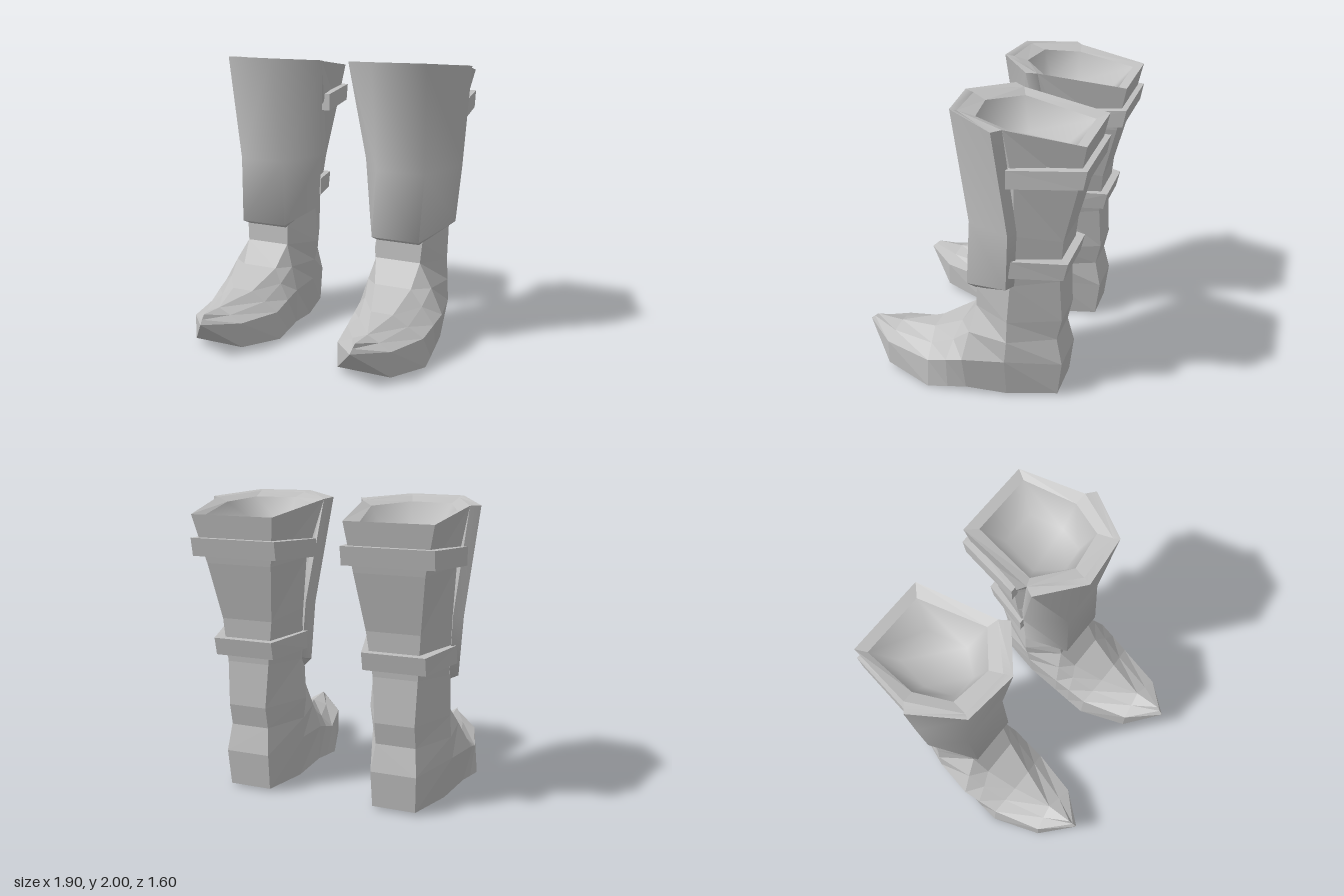
import * as THREE from 'three';
import { toCreasedNormals } from 'three/addons/utils/BufferGeometryUtils.js';

// Cross-section from rows [outer x, inner x, y, z, inner y, inner z], listed back to front.
// Runs down the outer side and returns along the inner side.
function section(rows) {
  const outer = rows.map(([xo, , y, z]) => [xo, y, z]);
  const inner = rows.map(([, xi, y, z, yi = y, zi = z]) => [xi, yi, zi]);
  return [...outer, ...inner.reverse()];
}

// Joins closed sections of equal length, bottom to top, with optional end caps.
function loft(rings, side, { bottom = true, top = true, crease = 0 } = {}) {
  const pos = [];
  const tri = (a, b, c) => {
    const [p, q, r] = [a, b, c].map(v => new THREE.Vector3(v[0] * side, v[1], v[2]));
    const area = q.clone().sub(p).cross(r.clone().sub(p)).length();
    if (area < 1e-7) return;
    for (const v of side > 0 ? [p, q, r] : [p, r, q]) pos.push(v.x, v.y, v.z);
  };
  const quad = (a, b, c, d) => { tri(a, b, c); tri(a, c, d); };
  const n = rings[0].length;
  for (let k = 0; k < rings.length - 1; k++) {
    const lo = rings[k], hi = rings[k + 1];
    for (let i = 0; i < n; i++) {
      const j = (i + 1) % n;
      // the diagonal is mirrored between the two halves of the section
      if (i < n / 2) quad(lo[i], hi[i], hi[j], lo[j]);
      else quad(lo[j], lo[i], hi[i], hi[j]);
    }
  }
  const first = rings[0], last = rings[rings.length - 1];
  for (let i = 0; i < n / 2 - 1; i++) {
    const j = n - 1 - i;
    if (top) quad(last[i], last[j], last[j - 1], last[i + 1]);
    if (bottom) quad(first[i], first[i + 1], first[j - 1], first[j]);
  }
  const geo = new THREE.BufferGeometry();
  geo.setAttribute('position', new THREE.Float32BufferAttribute(pos, 3));
  geo.computeVertexNormals();
  return crease ? toCreasedNormals(geo, crease) : geo;
}

// Foot: sole, side crease, flank and instep, each from heel to toe tip
const foot = [
  [[.67, .375, .02, -.63], [.77, .30, .01, -.30], [.83, .27, .04, -.03], [.845, .265, .02, .10],
    [.86, .26, 0, .24], [.75, .37, .04, .58], [.56, .56, .04, .58]],
  [[.68, .37, .27, -.655], [.82, .27, .30, -.30], [.875, .26, .29, -.02], [.86, .27, .25, .10],
    [.84, .28, .20, .24], [.75, .37, .215, .58], [.56, .56, .245, .80]],
  [[.66, .39, .45, -.61], [.81, .26, .45, -.31], [.785, .31, .46, -.04], [.765, .34, .36, .08],
    [.735, .375, .27, .255], [.66, .47, .255, .565], [.565, .565, .273, .77]],
  [[.66, .39, .60, -.64], [.80, .24, .60, -.31], [.69, .36, .62, -.06], [.67, .40, .46, .05],
    [.63, .47, .34, .27], [.57, .57, .29, .55], [.57, .57, .30, .74]],
].map(section);

// Shaft: back corner, side and front of each level
const shaft = [
  [[.66, .39, .60, -.64], [.80, .24, .60, -.31], [.69, .36, .62, -.06]],
  [[.67, .37, .90, -.62], [.80, .27, .88, -.33], [.70, .36, .76, -.07]],
  [[.69, .33, 1.20, -.64], [.81, .23, 1.25, -.36], [.70, .37, 1.25, -.06]],
  [[.74, .28, 1.58, -.73], [.83, .20, 1.60, -.36], [.70, .40, 1.60, -.03]],
  [[.81, .235, 1.90, -.79], [.89, .14, 1.97, -.31, 1.97, -.20], [.73, .40, 1.99, .03, 1.99, .05]],
].map(section);

// Opening: inner lip and sunken floor
const lip = section([[.77, .31, 1.88, -.72], [.81, .21, 1.94, -.32, 1.94, -.23], [.71, .43, 1.96, -.08, 1.96, -.04]]);
const floor = section([[.66, .40, 1.74, -.58], [.70, .34, 1.75, -.34, 1.75, -.30], [.64, .47, 1.76, -.16, 1.76, -.14]]);

// Shin guard: four outer points, then four inner points, at each level
const guard = [
  [[.85, .88, -.32], [.70, .78, 0], [.35, .78, 0], [.21, .88, -.28],
    [.80, .89, -.36], [.68, .75, -.06], [.37, .75, -.06], [.26, .89, -.33]],
  [[.88, 1.28, -.34], [.72, 1.25, -.03], [.37, 1.25, -.02], [.18, 1.28, -.27],
    [.82, 1.28, -.38], [.70, 1.25, -.08], [.39, 1.25, -.08], [.23, 1.28, -.32]],
  [[.95, 1.97, -.26], [.75, 2, .07], [.38, 2, .11], [.10, 1.98, -.13],
    [.89, 1.97, -.31], [.73, 1.99, .03], [.40, 1.99, .05], [.14, 1.97, -.20]],
].map(p => [...p.slice(0, 4), ...p.slice(4).reverse()]);

// Strap around the back: half-section wraps inner side, back corners and outer side
function strap([sideOut, sideIn, ySide, zSide], [backOut, backIn, yBack, zBack], height, lean, t) {
  const ring = (h, s) => {
    const band = d => [
      [sideIn + d, ySide + h, zSide], [backIn + d, yBack + h, zBack + d + s],
      [backOut - d, yBack + h, zBack + d + s], [sideOut - d, ySide + h, zSide]];
    return [...band(0), ...band(t).reverse()];
  };
  return [ring(-height / 2, lean), ring(height / 2, 0)];
}
const straps = {
  upperStrap: strap([.89, .145, 1.66, -.33], [.815, .22, 1.69, -.80], .12, .02, .06),
  lowerStrap: strap([.845, .215, 1.025, -.33], [.735, .315, 1.01, -.685], .12, .025, .06),
};

export function createModel() {
  const model = new THREE.Group();
  model.name = 'boots';
  const grey = new THREE.MeshStandardMaterial({ color: 0xc0c0c0 });
  grey.name = 'grey leather';

  for (const side of [1, -1]) {
    const boot = new THREE.Group();
    boot.name = side > 0 ? 'leftBoot' : 'rightBoot';
    const add = (name, geometry) => {
      const mesh = new THREE.Mesh(geometry, grey);
      mesh.name = name;
      boot.add(mesh);
    };
    add('foot', loft(foot, side));
    add('shaft', loft(shaft, side, { bottom: false, top: false }));
    add('rim', loft([shaft[4], lip], side, { bottom: false, top: false }));
    add('lining', loft([lip, floor], side, { bottom: false, crease: 1.4 }));
    add('shinGuard', loft(guard, side, { crease: 1.25 }));
    for (const [name, rings] of Object.entries(straps)) add(name, loft(rings, side));
    model.add(boot);
  }
  return model;
}
